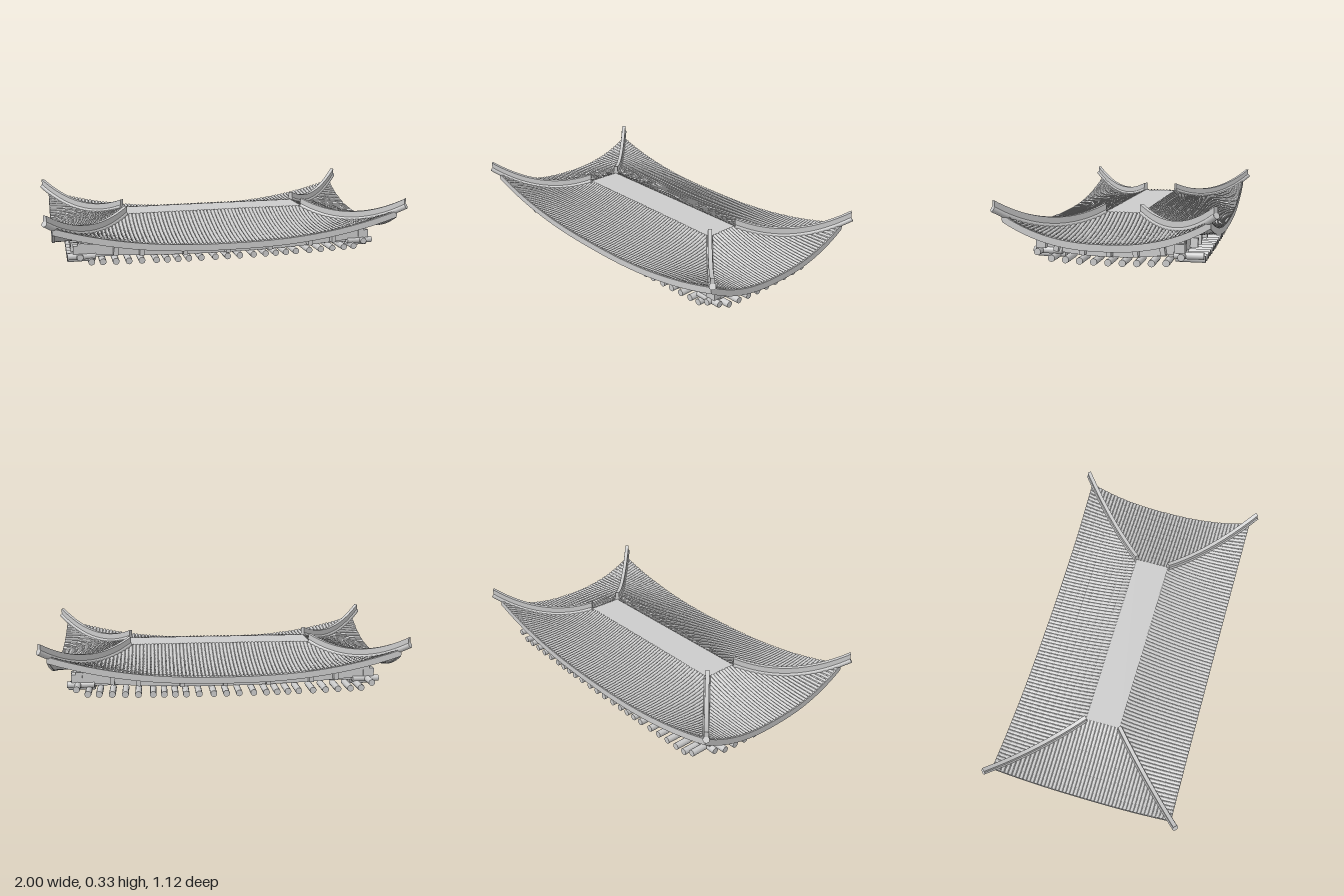
import * as THREE from 'three';

const mat = new THREE.MeshStandardMaterial({ color: 0xcccccc, side: THREE.DoubleSide });

// Ridge height along the hip, and roof height at the middle and at the hips (v: 0 inner edge, 1 eave)
const ridgeTop = (v) => 0.27 - 0.248 * v + 0.312 * v * v;
const hipY = (v) => ridgeTop(0.923 * v) - 0.052;
const midY = (v) => 0.22 - 0.165 * v + 0.07 * v * v;

// Long and short slopes: half width and outward distance at the inner edge and at the eave
const LONG = { a0: 0.53, a1: 0.95, o0: 0.1, o1: 0.515, lintelHalf: 0.82, lintelOut: 0.36,
  logs: [0, 0.07, 0.15, 0.22, 0.28, 0.34, 0.4, 0.48, 0.55, 0.62, 0.69, 0.75, 0.81],
  brackets: [0, 0.24, 0.48, 0.62] };
const SHORT = { a0: 0.1, a1: 0.515, o0: 0.53, o1: 0.95, lintelHalf: 0.38, lintelOut: 0.8,
  logs: [0, 0.073, 0.146, 0.219, 0.292, 0.365], brackets: [0, 0.135, 0.27] };

function roofPoint(s, x, v) {
  const t = Math.min(1, Math.abs(x) / (s.a0 + (s.a1 - s.a0) * v));
  const y = midY(v) + (hipY(v) - midY(v)) * Math.pow(t, 2.4);
  return [x, y, s.o0 + (s.o1 - s.o0) * v];
}

// Grid surface from a function of (i / nu, j / nv)
function sheet(fn, nu, nv) {
  const pos = [], idx = [];
  for (let j = 0; j <= nv; j++) for (let i = 0; i <= nu; i++) pos.push(...fn(i / nu, j / nv, j));
  for (let j = 0; j < nv; j++) for (let i = 0; i < nu; i++) {
    const a = j * (nu + 1) + i, b = a + nu + 1;
    idx.push(a, b, a + 1, a + 1, b, b + 1);
  }
  const g = new THREE.BufferGeometry();
  g.setAttribute('position', new THREE.Float32BufferAttribute(pos, 3));
  g.setIndex(idx);
  g.computeVertexNormals();
  return g;
}

// Board cut between two height curves, centred on z = 0
function curvedBoard(top, bottom, from, to, depth, n = 28) {
  const pts = [];
  for (let i = 0; i <= n; i++) { const x = from + (to - from) * i / n; pts.push(new THREE.Vector2(x, bottom(x))); }
  for (let i = n; i >= 0; i--) { const x = from + (to - from) * i / n; pts.push(new THREE.Vector2(x, top(x))); }
  return new THREE.ExtrudeGeometry(new THREE.Shape(pts), { depth, bevelEnabled: false }).translate(0, 0, -depth / 2);
}

function add(parent, name, geometry, x = 0, y = 0, z = 0) {
  const m = new THREE.Mesh(geometry, mat);
  m.name = name;
  m.position.set(x, y, z);
  parent.add(m);
  return m;
}

// Mirror a list of distances to both sides of the middle
const bothSides = (list) => list.flatMap((x) => (x ? [x, -x] : [0]));

// One roof slope facing +z with everything beneath its eave
function createSide(s, logOut) {
  const side = new THREE.Group();

  // Roof deck and its underside
  const deck = (drop) => (u, v) => {
    const p = roofPoint(s, (u * 2 - 1) * (s.a0 + (s.a1 - s.a0) * v), v);
    p[1] -= drop;
    return p;
  };
  add(side, 'roofDeck', sheet(deck(0), 40, 14));
  add(side, 'roofUnderside', sheet(deck(0.03), 40, 14));

  // Rows of overlapping barrel tiles, each cut off at the hip
  const tiles = new THREE.Group();
  tiles.name = 'barrelTiles';
  side.add(tiles);
  const pitch = 0.021, rows = Math.floor((s.a1 - 0.008) / pitch);
  for (let k = -rows; k <= rows; k++) {
    const x = k * pitch;
    const start = Math.max(0, (Math.abs(x) - s.a0) / (s.a1 - s.a0));
    const courses = Math.max(1, Math.round((1 - start) * 10));
    add(tiles, 'tileRow', sheet((u, w, j) => {
      const course = Math.floor(j / 2) + (j % 2);
      const v = start + (1 - start) * course / courses;
      const p = roofPoint(s, x, v);
      const r = j % 2 ? 0.01 : 0.0085, a = Math.PI * (1 - u);
      return [p[0] + r * Math.cos(a), p[1] + r * Math.sin(a), p[2]];
    }, 5, courses * 2 - 1));
  }

  // Fascia along the curved eave
  const eave = (x) => roofPoint(s, x, 1)[1];
  add(side, 'eaveFascia', curvedBoard((x) => eave(x) + 0.002, (x) => eave(x) - 0.034, -s.a1, s.a1, 0.014), 0, 0, s.o1 - 0.005);

  // Bowed lintel carrying bracket blocks that lean with its curve
  const rise = (x) => 0.04 * Math.pow(Math.abs(x) / s.lintelHalf, 2.3);
  add(side, 'lintel', curvedBoard((x) => 0.095 + rise(x), (x) => 0.04 + rise(x), -s.lintelHalf, s.lintelHalf, 0.03), 0, 0, s.lintelOut);
  for (const x of bothSides(s.brackets)) {
    const block = add(side, 'bracketBlock', new THREE.BoxGeometry(0.025, 0.05, 0.09), x, 0.072 + rise(x), s.lintelOut + 0.01);
    block.rotation.z = Math.atan((rise(x + 0.01) - rise(x - 0.01)) / 0.02);
  }

  // Short round logs under the lintel, the outermost raised
  const last = s.logs[s.logs.length - 1];
  for (const x of bothSides(s.logs)) {
    const t = Math.abs(x) / last;
    const log = new THREE.CylinderGeometry(0.018, 0.018, 0.15, 14).rotateX(Math.PI / 2);
    add(side, 'rafterLog', log, x, 0.021 + 0.016 * t * t + (t === 1 ? 0.025 : 0), logOut);
  }
  return side;
}

export function createModel() {
  const model = new THREE.Group();
  model.name = 'curvedHipRoof';

  // Four slopes
  [['frontSlope', LONG, 0, 0.325], ['leftSlope', SHORT, 1, 0.795],
    ['backSlope', LONG, 2, 0.395], ['rightSlope', SHORT, 3, 0.8]].forEach(([name, s, turn, logOut]) => {
    const side = createSide(s, logOut);
    side.name = name;
    side.rotation.y = turn * Math.PI / 2;
    model.add(side);
  });

  // Upswept hip ridges: a round roll with an upright crest on it
  const dx = 0.455, dz = 0.445, len = Math.hypot(dx, dz), rollRadius = 0.017;
  const top = (d) => ridgeTop(d / len);
  const crest = curvedBoard(top, (d) => top(d) - 0.05, 0, len - 0.002, 0.022);
  const points = [];
  for (let i = 0; i <= 10; i++) {
    const d = (len + 0.004) * i / 10;
    points.push(new THREE.Vector3(d, top(d) - 0.045, 0));
  }
  const path = new THREE.CatmullRomCurve3(points);
  const roll = new THREE.TubeGeometry(path, 28, rollRadius, 12);
  const cap = new THREE.CircleGeometry(rollRadius, 12);
  for (const sx of [1, -1]) for (const sz of [1, -1]) {
    const ridge = new THREE.Group();
    ridge.name = 'hipRidge';
    ridge.position.set(0.53 * sx, 0, 0.1 * sz);
    ridge.rotation.y = Math.atan2(-dz * sz, dx * sx);
    add(ridge, 'ridgeCrest', crest);
    add(ridge, 'ridgeRoll', roll);
    for (const [t, dir] of [[0, -1], [1, 1]]) {
      const end = add(ridge, 'ridgeRollEnd', cap);
      end.position.copy(path.getPointAt(t));
      end.quaternion.setFromUnitVectors(new THREE.Vector3(0, 0, 1), path.getTangentAt(t).multiplyScalar(dir));
    }
    model.add(ridge);

    // Block at each corner of the lintels
    add(model, 'cornerBlock', new THREE.BoxGeometry(0.06, 0.045, 0.05), 0.815 * sx, 0.1, 0.355 * sz);
  }

  // Flat panel closing the top
  add(model, 'topPanel', new THREE.BoxGeometry(1.06, 0.02, 0.2), 0, 0.213, 0);

  // Plank ceiling
  for (let k = -5; k <= 5; k++)
    add(model, 'ceilingPlank', new THREE.BoxGeometry(1.58, 0.014, 0.052), 0, 0.055, k * 0.063);
  add(model, 'ceilingBoard', new THREE.BoxGeometry(1.58, 0.006, 0.7), 0, 0.068, 0);

  return model;
}
